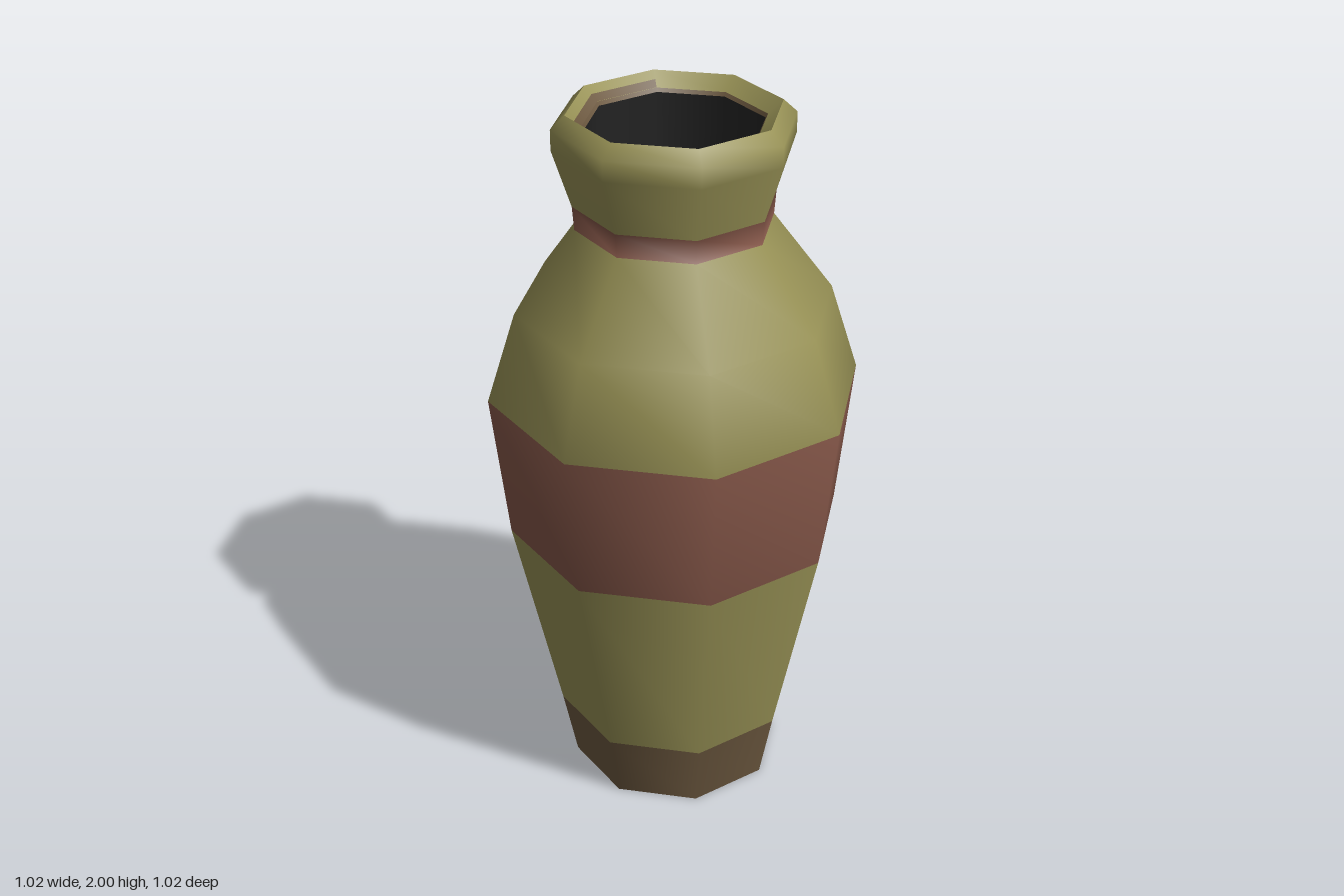
import * as THREE from 'three';

const SIDES = 8;

function material(name, color) {
  const m = new THREE.MeshStandardMaterial({ color });
  m.name = name;
  return m;
}

const points = (list) => list.map(([r, y]) => new THREE.Vector2(r, y));

export function createModel() {
  const olive = material('olive glaze', 0x979155);
  const red = material('red clay', 0x845648);
  const brown = material('brown clay', 0x6c583f);
  const black = material('dark inside', 0x232323);

  const vase = new THREE.Group();
  vase.name = 'vase';
  const add = (name, geometry, mat) => {
    const mesh = new THREE.Mesh(geometry, mat);
    mesh.name = name;
    vase.add(mesh);
    return mesh;
  };

  // Outer wall: one eight-sided profile, so normals stay smooth across colour bands
  const outline = points([
    [0.297, 0], [0.336, 0.2], [0.463, 0.8], [0.508, 1.215], [0.428, 1.465],
    [0.263, 1.69], [0.268, 1.755], [0.317, 1.91], [0.317, 1.965], [0.28, 2],
  ]);
  const wall = new THREE.LatheGeometry(outline, SIDES);
  const rows = outline.length - 1;

  // Takes the rows [from, to) of the wall as a separate part
  const band = (name, from, to, mat) => {
    const geometry = new THREE.BufferGeometry();
    for (const key of ['position', 'normal', 'uv']) geometry.setAttribute(key, wall.getAttribute(key));
    const index = Array.from(wall.index.array).filter((_, k) => {
      const row = Math.floor(k / 6) % rows;
      return row >= from && row < to;
    });
    geometry.setIndex(index);
    add(name, geometry, mat);
  };
  band('foot', 0, 1, brown);
  band('lowerBody', 1, 2, olive);
  band('bellyBand', 2, 3, red);
  band('shoulder', 3, 5, olive);
  band('neckBand', 5, 6, red);
  band('rim', 6, 9, olive);

  // Mouth: sloping lip, thin clay edge, and dark well
  add('innerLip', new THREE.LatheGeometry(points([[0.28, 2], [0.24, 1.965]]), SIDES), olive);
  add('lipEdge', new THREE.LatheGeometry(points([[0.24, 1.965], [0.234, 1.955]]), SIDES), brown);
  add('lipStain', new THREE.LatheGeometry(
    points([[0.257, 1.982], [0.239, 1.966]]), 2, Math.PI, Math.PI / 2), brown);
  add('innerWall', new THREE.LatheGeometry(points([[0.234, 1.955], [0.234, 1.6]]), SIDES), black);

  // Flat discs closing the well and the underside
  const disc = (name, radius, y, tilt, mat) => {
    const mesh = add(name, new THREE.CircleGeometry(radius, SIDES), mat);
    mesh.rotation.x = tilt;
    mesh.position.y = y;
  };
  disc('innerFloor', 0.234, 1.6, -Math.PI / 2, black);
  disc('underside', 0.297, 0, Math.PI / 2, brown);

  return vase;
}
